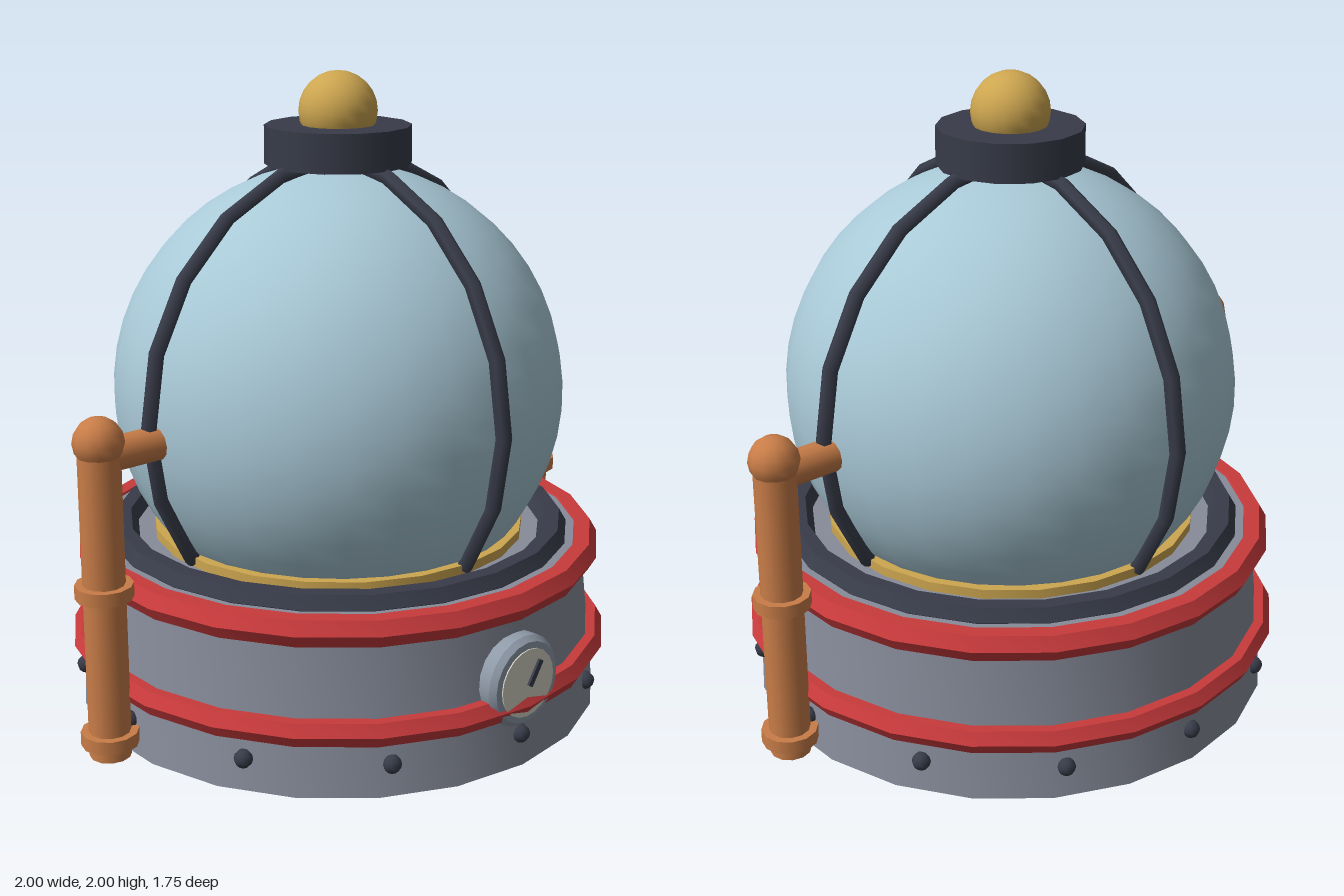
import * as THREE from 'three';
import { toCreasedNormals } from 'three/addons/utils/BufferGeometryUtils.js';

const paint = (name, color) => {
  const m = new THREE.MeshStandardMaterial({ color });
  m.name = name;
  return m;
};

export function createModel() {
  const glass = paint('pale blue glass', 0xa9c9d7);
  const steel = paint('grey steel', 0x878c9a);
  const iron = paint('dark iron', 0x383c49);
  const red = paint('red trim', 0xc93a3c);
  const copper = paint('copper', 0xc97d48);
  const brass = paint('brass', 0xcda650);
  const cream = paint('cream dial', 0xd3d1c3);
  const rimGrey = paint('gauge rim grey', 0x8f9aa8);

  const model = new THREE.Group();
  model.name = 'domedVessel';

  const add = (name, geo, mat, x = 0, y = 0, z = 0, parent = model) => {
    const mesh = new THREE.Mesh(geo, mat);
    mesh.name = name;
    mesh.position.set(x, y, z);
    parent.add(mesh);
    return mesh;
  };
  const lathe = (points, sides) => toCreasedNormals(
    new THREE.LatheGeometry(points.map(([r, y]) => new THREE.Vector2(r, y)), sides), 0.6);
  // Ring with a six-sided section
  const hexRing = (radius, tube) => {
    const section = [];
    for (let i = 0; i <= 6; i++) {
      const a = (i * Math.PI) / 3;
      section.push([radius + tube * Math.cos(a), tube * Math.sin(a)]);
    }
    return lathe(section, 22);
  };

  // Tapered base with its bands
  add('base', lathe([[0, 0], [0.85, 0], [0.79, 0.54], [0, 0.54]], 22), steel);
  add('upperBand', hexRing(0.8, 0.048), red, 0, 0.505);
  add('lowerBand', hexRing(0.833, 0.043), red, 0, 0.203);
  add('domeSeatRing', hexRing(0.7, 0.046), iron, 0, 0.542);
  add('domeFlange', new THREE.CylinderGeometry(0.6, 0.6, 0.06, 22), brass, 0, 0.54);

  // Rivets around the foot of the base
  const rivet = new THREE.SphereGeometry(0.029, 8, 6);
  for (let i = 0; i < 12; i++) {
    const a = (i * Math.PI) / 6;
    add('rivet', rivet, iron, 0.837 * Math.sin(a), 0.1, 0.837 * Math.cos(a));
  }

  // Glass dome, open below where it meets the flange
  add('dome', new THREE.SphereGeometry(0.715, 28, 18, 0, Math.PI * 2, 0, Math.acos(-0.45 / 0.715)),
    glass, 0, 1);

  // Two crossing ribs over the dome
  const rib = new THREE.TorusGeometry(0.735, 0.025, 6, 16, Math.PI * 1.6);
  rib.rotateZ(-Math.PI * 0.3);
  add('sideRib', rib, iron, 0, 1);
  add('frontRib', rib, iron, 0, 1).rotation.y = Math.PI / 2;

  // Cap and ball on top
  add('topCap', new THREE.CylinderGeometry(0.228, 0.228, 0.12, 14), iron, 0, 1.776);
  add('topBall', new THREE.SphereGeometry(0.122, 18, 12), brass, 0, 1.878);

  // Copper pipes on both sides
  for (const [side, s] of [['left', 1], ['right', -1]]) {
    const pipe = new THREE.Group();
    pipe.name = side + 'Pipe';
    pipe.position.x = s * 0.91;
    model.add(pipe);
    add('uprightPipe', new THREE.CylinderGeometry(0.064, 0.064, 0.99, 12), copper, 0, 0.505, 0, pipe);
    add('pipeElbow', new THREE.SphereGeometry(0.077, 12, 8), copper, 0, 1.003, 0, pipe);
    const arm = new THREE.CylinderGeometry(0.052, 0.052, 0.21, 12);
    arm.rotateZ(Math.PI / 2);
    add('pipeArm', arm, copper, -s * 0.105, 0.958, 0, pipe);
    for (const y of [0.07, 0.545]) {
      add('pipeCollar', new THREE.CylinderGeometry(0.088, 0.088, 0.043, 12), copper, 0, y, 0, pipe);
    }
  }

  // Pressure gauge on the front
  const gauge = new THREE.Group();
  gauge.name = 'gauge';
  gauge.position.set(0, 0.273, 0);
  model.add(gauge);
  const rim = lathe([[0, 0.74], [0.143, 0.74], [0.143, 0.838], [0.128, 0.856], [0.108, 0.858], [0, 0.858]], 20);
  rim.rotateX(Math.PI / 2);
  add('gaugeRim', rim, rimGrey, 0, 0, 0, gauge);
  const dial = new THREE.CylinderGeometry(0.108, 0.108, 0.008, 20);
  dial.rotateX(Math.PI / 2);
  add('gaugeDial', dial, cream, 0, 0, 0.858, gauge);
  add('gaugeNeedle', new THREE.BoxGeometry(0.018, 0.085, 0.008), iron, 0.025, 0.027, 0.866, gauge)
    .rotation.z = -0.55;

  return model;
}
